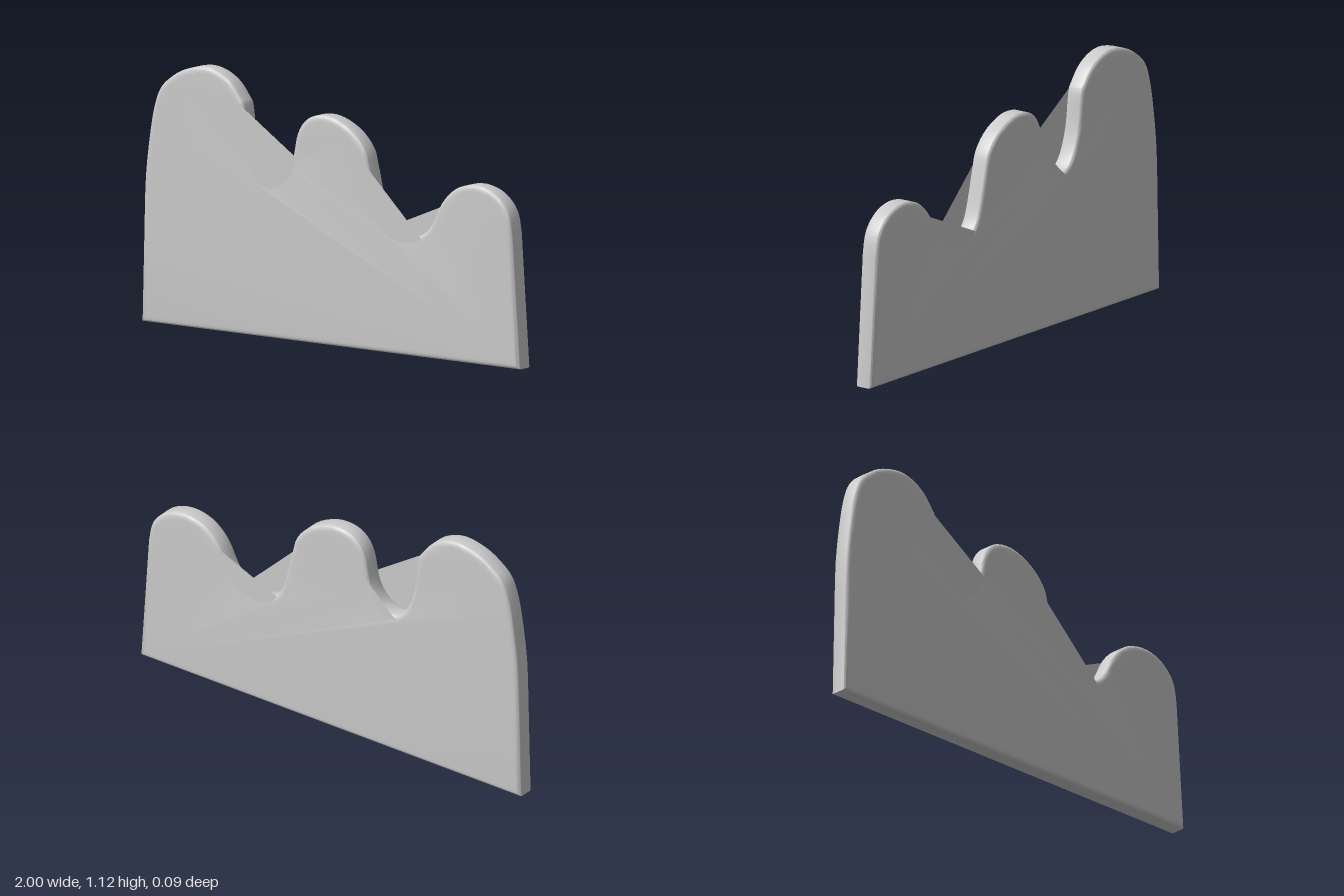
import * as THREE from 'three';
import { toCreasedNormals } from 'three/addons/utils/BufferGeometryUtils.js';

const HALF = 0.043; // half thickness of the slab
const BEVEL_Z = 0.013;
const BEVEL_XY = 0.025;

const toVectors = (pairs) => pairs.map(([x, y]) => new THREE.Vector2(x, y));

// Skyline from the tall hump's side, over three humps, down to the far corner
const skyline = [
  [-0.99, 0.4], [-0.982, 0.63], [-0.955, 0.84], [-0.93, 0.95], [-0.9, 1.015], [-0.85, 1.06],
  [-0.78, 1.1], [-0.68, 1.123], [-0.6, 1.11], [-0.53, 1.07], [-0.48, 1.01], [-0.46, 0.97],
  [-0.44, 0.82], [-0.4, 0.71], [-0.35, 0.66], [-0.3, 0.66], [-0.25, 0.69], [-0.21, 0.75],
  [-0.195, 0.81], [-0.18, 0.88], [-0.15, 0.935], [-0.1, 0.97], [-0.03, 0.98], [0.04, 0.965],
  [0.12, 0.922], [0.18, 0.855], [0.203, 0.78], [0.235, 0.65], [0.265, 0.565], [0.31, 0.52],
  [0.38, 0.497], [0.47, 0.517], [0.53, 0.565], [0.58, 0.66], [0.63, 0.717], [0.69, 0.752],
  [0.77, 0.765], [0.85, 0.747], [0.91, 0.705], [0.945, 0.65], [0.96, 0.57],
];

// Thin flat fills that bridge the dips; each starts with its straight top edge
const webs = [
  { name: 'frontWebTall', z: HALF - 0.0005, points: [[-0.49, 0.99], [-0.17, 0.78], [-0.19, 0.68], [-0.26, 0.62], [-0.36, 0.6], [-0.47, 0.7]] },
  { name: 'frontWebLow', z: HALF - 0.0005, points: [[0.17, 0.808], [0.49, 0.5], [0.38, 0.46], [0.27, 0.48], [0.2, 0.6]] },
  { name: 'backWebTall', z: -HALF + 0.0005, points: [[-0.15, 0.817], [-0.35, 0.636], [-0.27, 0.62], [-0.18, 0.69]] },
  { name: 'backWebLow', z: -HALF + 0.0005, points: [[0.61, 0.672], [0.28, 0.535], [0.33, 0.47], [0.47, 0.47], [0.57, 0.55]] },
];

export function createModel() {
  const group = new THREE.Group();
  group.name = 'humpedPanel';

  // Main slab with softly rounded rims
  const outline = new THREE.Shape();
  outline.moveTo(1, 0);
  outline.lineTo(-1, 0);
  outline.lineTo(...skyline[0]);
  outline.splineThru(toVectors(skyline.slice(1)));
  outline.lineTo(1, 0);
  const slab = new THREE.ExtrudeGeometry(outline, {
    depth: 2 * (HALF - BEVEL_Z),
    curveSegments: 3,
    bevelEnabled: true,
    bevelThickness: BEVEL_Z,
    bevelSize: BEVEL_XY,
    bevelOffset: -BEVEL_XY,
    bevelSegments: 4,
  });
  slab.translate(0, 0, -(HALF - BEVEL_Z));
  const panel = new THREE.Mesh(
    toCreasedNormals(slab, 0.8),
    new THREE.MeshStandardMaterial({ color: 0xcccccc }),
  );
  panel.name = 'panel';
  group.add(panel);

  // Webs across the dips on both faces
  const webMaterial = new THREE.MeshStandardMaterial({ color: 0xcccccc, side: THREE.DoubleSide });
  for (const { name, z, points } of webs) {
    const geometry = new THREE.ShapeGeometry(new THREE.Shape(toVectors(points)));
    if (z < 0) {
      // Turn the back webs to face outward
      geometry.rotateY(Math.PI).scale(-1, 1, 1);
      geometry.computeVertexNormals();
    }
    const web = new THREE.Mesh(geometry, webMaterial);
    web.name = name;
    web.position.z = z;
    group.add(web);
  }
  return group;
}
